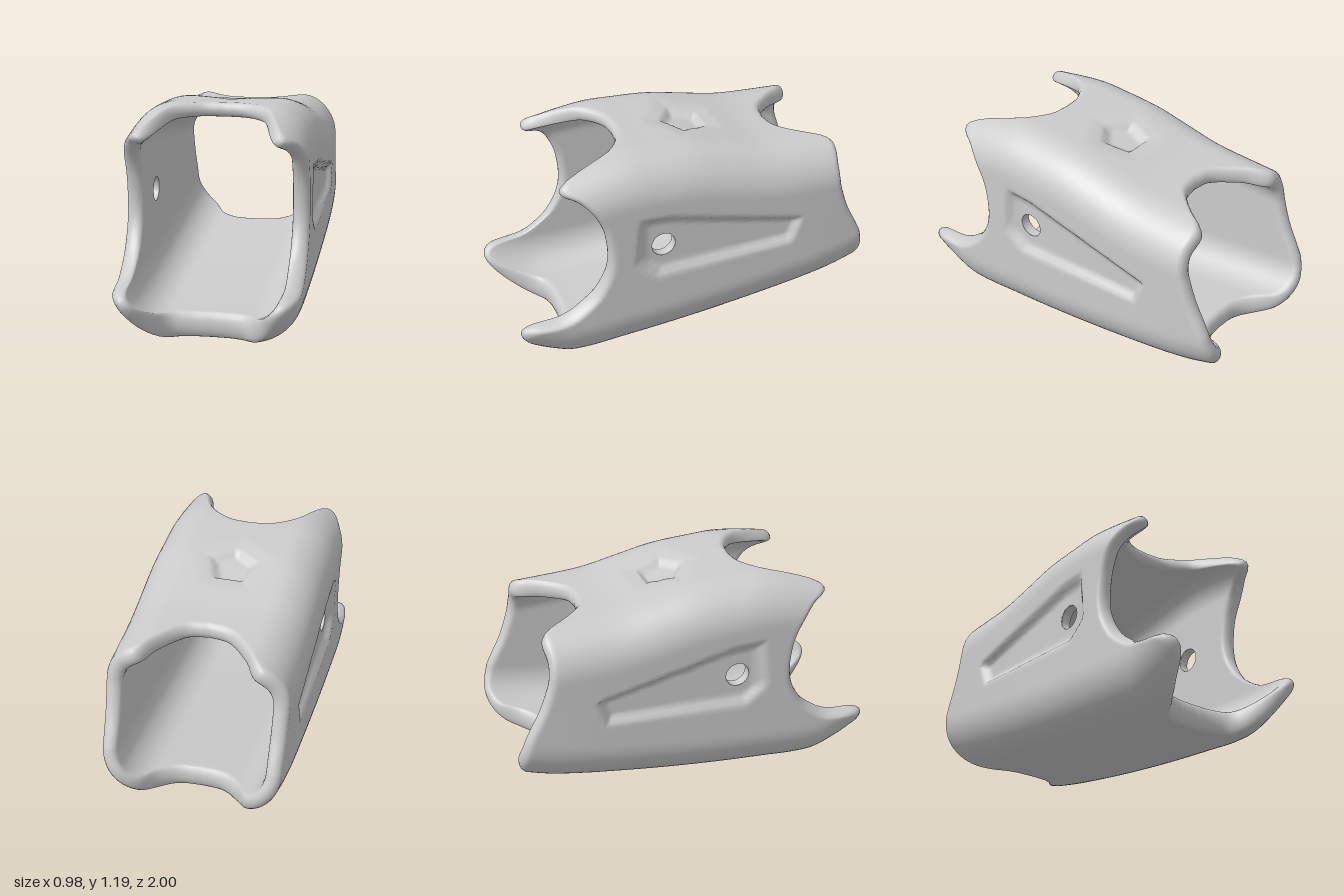
import * as THREE from 'three';

const { smoothstep, lerp } = THREE.MathUtils;

// Smooth curve through [position, value] keys
function curve(keys) {
  const slope = keys.map((k, i) => {
    const a = keys[Math.max(i - 1, 0)], b = keys[Math.min(i + 1, keys.length - 1)];
    return (b[1] - a[1]) / (b[0] - a[0]);
  });
  return (t) => {
    let i = 0;
    while (i < keys.length - 2 && t > keys[i + 1][0]) i++;
    const [x0, y0] = keys[i], [x1, y1] = keys[i + 1], h = x1 - x0;
    const f = Math.min(Math.max((t - x0) / h, 0), 1), g = 1 - f;
    return y0 * g * g * (1 + 2 * f) + y1 * f * f * (3 - 2 * f) + h * f * g * (slope[i] * g - slope[i + 1] * f);
  };
}

// Outer and inner skins: half width, floor and roof along z
const outer = {
  width: curve([[-1, 0.475], [-0.7, 0.487], [-0.3, 0.49], [0.6, 0.49], [1, 0.482]]),
  floor: curve([[-1, 0.22], [-0.8, 0.165], [-0.4, 0.1], [0, 0.05], [0.4, 0.015], [0.7, 0], [0.85, 0.05], [1, 0.13]]),
  roof: curve([[-1, 1.065], [-0.6, 1.075], [-0.4, 1.09], [-0.2, 1.13], [0, 1.17], [0.2, 1.185], [0.4, 1.19], [0.74, 1.14]]),
  low: 0.28, high: 0.24,
};
const inner = {
  width: curve([[-1, 0.395], [-0.5, 0.4], [0.6, 0.4], [1, 0.405]]),
  floor: curve([[-1, 0.32], [-0.77, 0.285], [0, 0.19], [0.7, 0.14], [1, 0.2]]),
  roof: curve([[-1, 0.97], [-0.56, 0.985], [0, 1.07], [0.34, 1.115], [0.74, 1.08]]),
  low: 0.18, high: 0.16,
};

// Scalloped ends, from bottom centre (0) over the side to top centre (1)
const frontEnd = curve([[0, 0.70], [0.08, 0.71], [0.14, 0.75], [0.18, 0.86], [0.22, 0.97], [0.26, 1], [0.3, 0.95],
  [0.34, 0.8], [0.37, 0.71], [0.42, 0.6], [0.5, 0.525], [0.605, 0.53], [0.68, 0.58], [0.74, 0.66], [0.77, 0.73],
  [0.794, 0.74], [0.816, 0.68], [0.836, 0.57], [0.86, 0.46], [0.93, 0.36], [1, 0.34]]);
const backEnd = curve([[0, -0.77], [0.08, -0.785], [0.14, -0.85], [0.18, -0.95], [0.22, -0.99], [0.27, -1], [0.34, -0.97],
  [0.41, -0.94], [0.535, -0.88], [0.68, -0.83], [0.74, -0.82], [0.79, -0.83], [0.816, -0.825], [0.836, -0.79],
  [0.86, -0.72], [0.93, -0.59], [1, -0.56]]);

// Point on half of a rounded rectangle
function section(skin, s, z) {
  const w = skin.width(z), lo = skin.floor(z), hi = skin.roof(z), { low, high } = skin;
  if (s < 0.14) return [(w - low) * s / 0.14, lo];
  if (s < 0.34) {
    const a = (s - 0.14) / 0.2 * Math.PI / 2;
    return [w - low + low * Math.sin(a), lo + low - low * Math.cos(a)];
  }
  if (s < 0.68) return [w, lerp(lo + low, hi - high, (s - 0.34) / 0.34)];
  if (s < 0.86) {
    const a = (0.86 - s) / 0.18 * Math.PI / 2;
    return [w - high + high * Math.sin(a), hi - high + high * Math.cos(a)];
  }
  return [(w - high) * (1 - s) / 0.14, hi];
}

// Tapered side recess, corners as [z, y] in order
const panel = [[0.4, 0.6], [0.36, 0.88], [0.18, 0.87], [-0.6, 0.69], [-0.54, 0.53], [0.25, 0.5]];
function panelDepth(z, y) {
  let d = Infinity;
  panel.forEach(([az, ay], i) => {
    const [bz, by] = panel[(i + 1) % panel.length], ez = bz - az, ey = by - ay;
    d = Math.min(d, (ez * (y - ay) - ey * (z - az)) / Math.hypot(ez, ey));
  });
  return 0.035 * smoothstep(d, 0, 0.05) * smoothstep(-z, -0.42, -0.28);
}

// Five-sided dimple in the roof
function dimpleDepth(x, z) {
  const dz = z + 0.07, step = Math.PI * 2 / 5;
  const a = Math.atan2(x, dz) + Math.PI * 2;
  const r = Math.hypot(x, dz) * Math.cos((a % step) - step / 2);
  return 0.035 * (1 - smoothstep(r, 0.07, 0.115)) + 0.012 * (1 - smoothstep(r, 0.1, 0.2));
}

const HOLE = { z: 0.21, y: 0.68, r: 0.067 };

function sleeveGeometry() {
  const half = 80, around = half * 2, steps = 92, rimSteps = 8, bevel = 0.035;
  // Wall profile: outside, back rim, inside, front rim; d is depth through the wall
  const profile = [];
  for (let j = 0; j <= steps; j++) profile.push({ f: j / steps, d: 0, o: 0 });
  for (let j = 1; j < rimSteps; j++) {
    const a = j / rimSteps * Math.PI;
    profile.push({ f: 1, d: (1 - Math.cos(a)) / 2, o: -bevel * Math.sin(a) });
  }
  for (let j = 0; j <= steps; j++) profile.push({ f: 1 - j / steps, d: 1, o: 0 });
  for (let j = 1; j < rimSteps; j++) {
    const a = j / rimSteps * Math.PI;
    profile.push({ f: 0, d: (1 + Math.cos(a)) / 2, o: bevel * Math.sin(a) });
  }
  const rows = profile.length, pos = [], cut = [], index = [];
  for (let i = 0; i < around; i++) {
    const s = (i <= half ? i : around - i) / half, side = i <= half ? 1 : -1;
    const z0 = frontEnd(s) - bevel, z1 = backEnd(s) + bevel;
    for (const { f, d, o } of profile) {
      let z = lerp(z0, z1, f) + o;
      const p = section(outer, s, z), q = section(inner, s, z);
      let x = lerp(p[0], q[0], d), y = lerp(p[1], q[1], d);
      // Open the round side hole by pushing points out to its edge
      const dz = z - HOLE.z, dy = y - HOLE.y, dist = Math.hypot(dz, dy);
      const inHole = x > 0.3 && dist < HOLE.r;
      if (inHole && dist > 1e-6) {
        z = HOLE.z + dz / dist * HOLE.r;
        y = HOLE.y + dy / dist * HOLE.r;
      }
      if (d === 0 && s > 0.3 && s < 0.75) x -= panelDepth(z, y);
      if (d === 0 && s > 0.75) y -= dimpleDepth(x * side, z);
      pos.push(x * side, y, z);
      cut.push(inHole);
    }
  }
  for (let i = 0; i < around; i++) {
    for (let j = 0; j < rows; j++) {
      const i2 = (i + 1) % around, j2 = (j + 1) % rows;
      const a = i * rows + j, b = i * rows + j2, c = i2 * rows + j2, e = i2 * rows + j;
      if (cut[a] && cut[b] && cut[c] && cut[e]) continue;
      index.push(a, b, c, a, c, e);
    }
  }
  const geo = new THREE.BufferGeometry();
  geo.setAttribute('position', new THREE.Float32BufferAttribute(pos, 3));
  geo.setIndex(index);
  geo.computeVertexNormals();
  return geo;
}

export function createModel() {
  const group = new THREE.Group();
  group.name = 'scallopedSleeve';

  const sleeve = new THREE.Mesh(sleeveGeometry(), new THREE.MeshStandardMaterial({ color: 0xcccccc }));
  sleeve.name = 'sleeveWall';
  group.add(sleeve);

  // Linings of the two side holes
  const lining = new THREE.CylinderGeometry(HOLE.r, HOLE.r, 0.055, 24, 1, true).rotateZ(Math.PI / 2);
  const liningMaterial = new THREE.MeshStandardMaterial({ color: 0xcccccc, side: THREE.DoubleSide });
  for (const side of [1, -1]) {
    const hole = new THREE.Mesh(lining, liningMaterial);
    hole.name = side > 0 ? 'leftHoleLining' : 'rightHoleLining';
    hole.position.set(side * 0.4275, HOLE.y, HOLE.z);
    group.add(hole);
  }
  return group;
}
